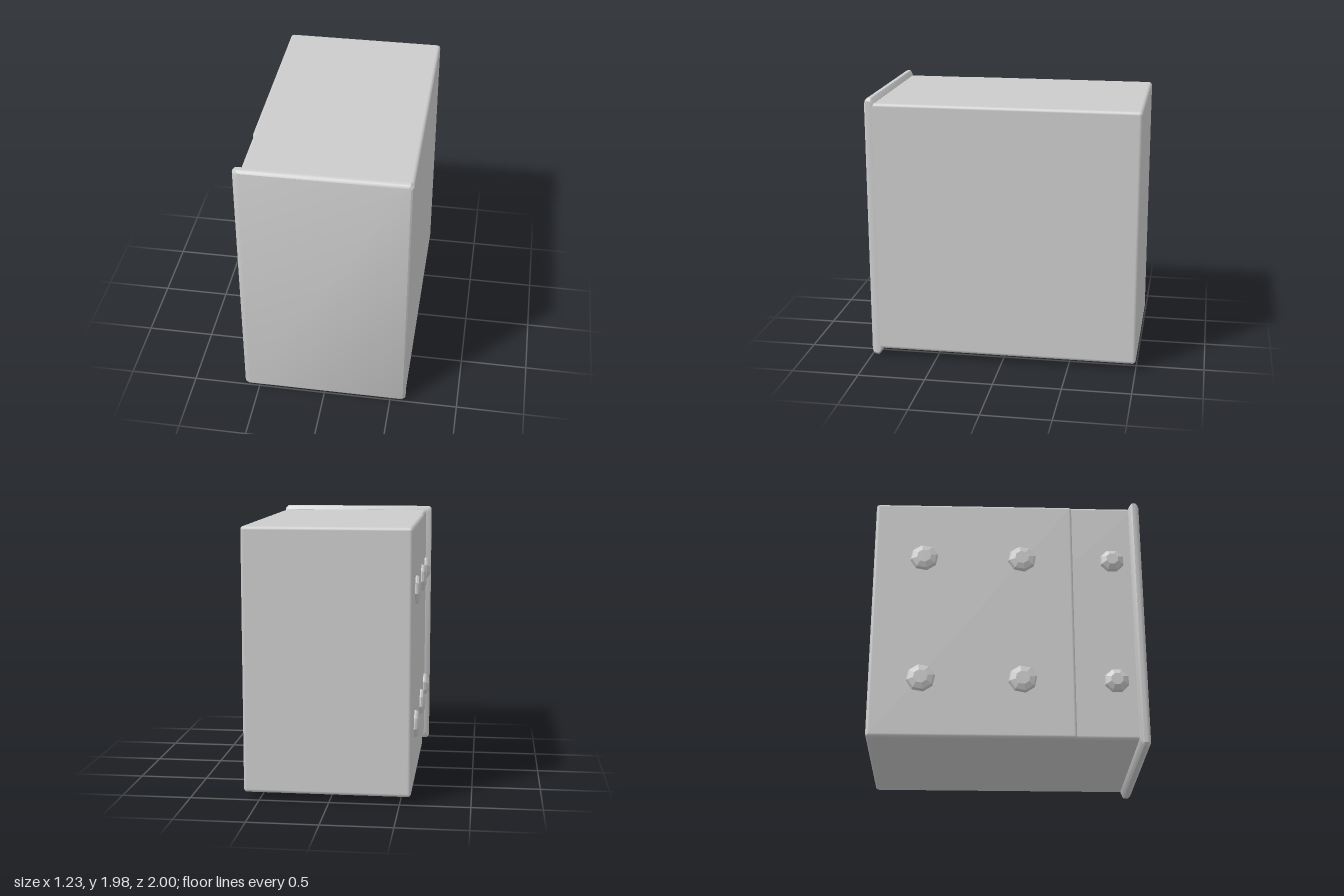
import * as THREE from 'three';
import { toCreasedNormals } from 'three/addons/utils/BufferGeometryUtils.js';
import { RoundedBoxGeometry } from 'three/addons/geometries/RoundedBoxGeometry.js';

const grey = new THREE.MeshStandardMaterial({ color: 0xcccccc });
const flatGrey = new THREE.MeshStandardMaterial({ color: 0xcccccc, flatShading: true });

// Rounded box given by its low and high corners
function slab(name, lo, hi, radius) {
  const size = lo.map((v, i) => hi[i] - v);
  const mesh = new THREE.Mesh(new RoundedBoxGeometry(...size, 2, radius), grey);
  mesh.position.set(...lo.map((v, i) => (v + hi[i]) / 2));
  mesh.name = name;
  return mesh;
}

// Front plate: chamfered rectangles lofted from front to back, both ends capped
function frontPlate() {
  // z, left/right/bottom/top limits
  const sections = [
    [1.0, -0.59, 0.595, 0.022, 1.958],
    [0.99, -0.605, 0.608, 0.008, 1.972],
    [0.975, -0.613, 0.613, 0.0, 1.98],
    [0.95, -0.613, 0.613, 0.0, 1.98],
    [0.938, -0.603, 0.613, 0.012, 1.968],
    [0.922, -0.57, 0.605, 0.05, 1.948],
  ];
  const c = 0.02, n = 8, positions = [], index = [];
  for (const [z, l, r, b, t] of sections) {
    const ring = [[l + c, b], [r - c, b], [r, b + c], [r, t - c], [r - c, t], [l + c, t], [l, t - c], [l, b + c]];
    for (const [x, y] of ring) positions.push(x, y, z);
  }
  const last = (sections.length - 1) * n;
  for (let s = 0; s < last; s += n) {
    for (let i = 0; i < n; i++) {
      const j = (i + 1) % n;
      index.push(s + i, s + n + i, s + j, s + j, s + n + i, s + n + j);
    }
  }
  for (let i = 1; i < n - 1; i++) {
    index.push(0, i, i + 1, last, last + i + 1, last + i);
  }
  const geometry = new THREE.BufferGeometry();
  geometry.setAttribute('position', new THREE.Float32BufferAttribute(positions, 3));
  geometry.setIndex(index);
  const mesh = new THREE.Mesh(toCreasedNormals(geometry, 0.6), grey);
  mesh.name = 'frontPlate';
  return mesh;
}

// Faceted stud whose axis points to -x
function stud(x, y, z, radius, turn) {
  const profile = [[1, -0.02], [1, 0.01], [0.9, 0.024], [0.5, -0.618 - x + 0.0], [0, 0]];
  const top = x + 0.618;
  profile[3][1] = top;
  profile[4][1] = top;
  const points = profile.map(([r, h]) => new THREE.Vector2(r * radius, h));
  const mesh = new THREE.Mesh(new THREE.LatheGeometry(points, 8, turn), flatGrey);
  mesh.rotation.z = Math.PI / 2;
  mesh.position.set(x, y, z);
  mesh.name = 'stud';
  return mesh;
}

export function createModel() {
  const model = new THREE.Group();
  model.name = 'cabinetBox';

  // Box body, with a slightly raised panel on the rear part of its -x side
  model.add(slab('body', [-0.57, 0.053, -1], [0.613, 1.947, 0.985], 0.025));
  model.add(slab('rearSidePanel', [-0.58, 0.053, -1], [-0.45, 1.947, 0.49], 0.025));
  model.add(frontPlate());

  // Two rows of three studs on the -x side
  const studs = new THREE.Group();
  studs.name = 'studs';
  for (const y of [0.5, 1.48]) {
    studs.add(stud(-0.58, y, -0.625, 0.105, 0.2));
    studs.add(stud(-0.58, y, 0.105, 0.105, 0.2));
    studs.add(stud(-0.57, y, 0.78, 0.092, 0.4));
  }
  model.add(studs);
  return model;
}
